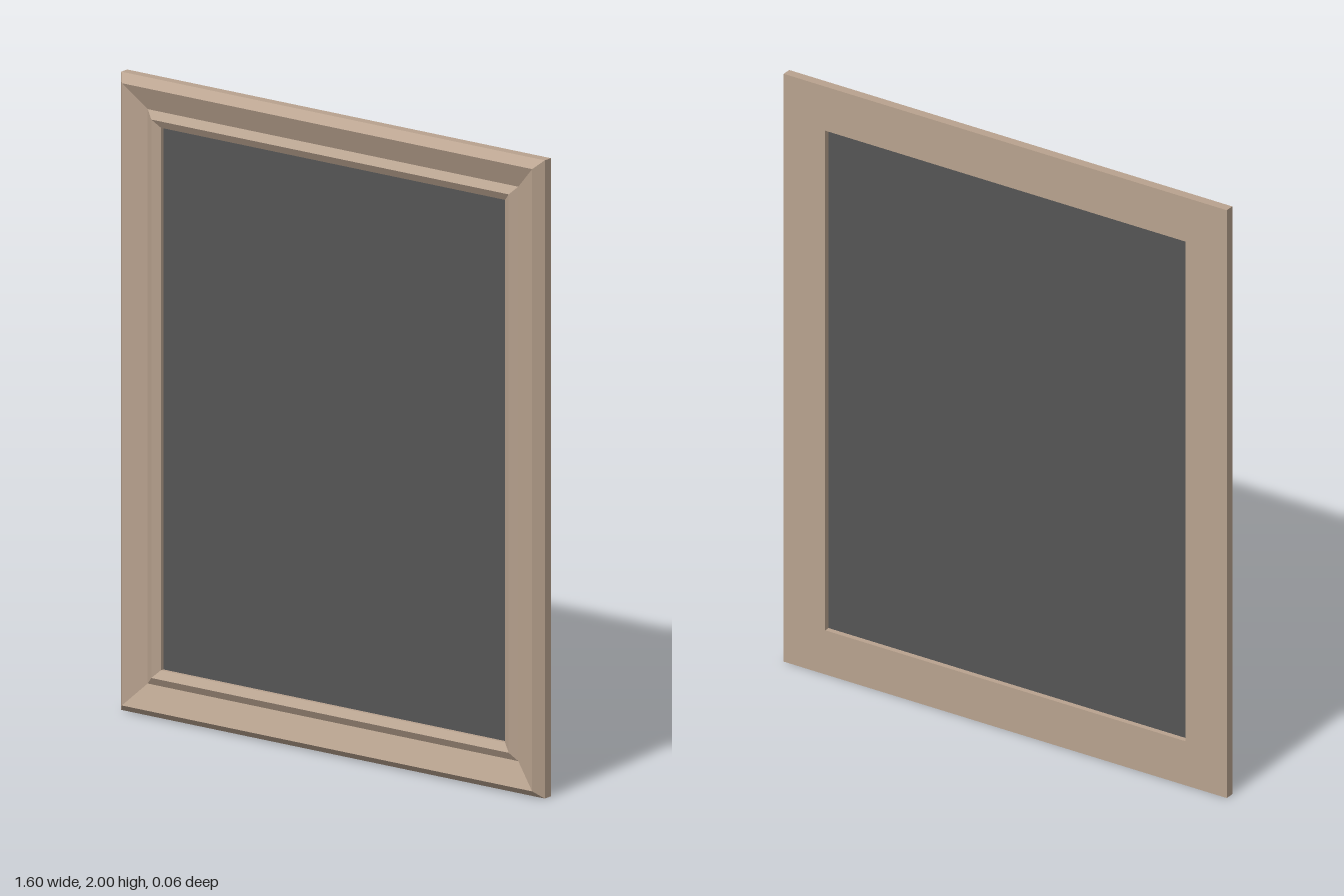
import * as THREE from 'three';

const WIDTH = 1.6, HEIGHT = 2;

// Sweeps a closed moulding profile of [inset, z] around a rectangle with mitred corners
function mitredFrame(profile) {
  const corners = [[-1, -1], [1, -1], [1, 1], [-1, 1]];
  const at = ([sx, sy], [inset, z]) =>
    [sx * (WIDTH / 2 - inset), HEIGHT / 2 + sy * (HEIGHT / 2 - inset), z];
  const positions = [];
  corners.forEach((c0, i) => {
    const c1 = corners[(i + 1) % 4];
    profile.forEach((p, j) => {
      const q = profile[(j + 1) % profile.length];
      const a = at(c0, p), b = at(c1, p), c = at(c1, q), d = at(c0, q);
      positions.push(...a, ...b, ...c, ...a, ...c, ...d);
    });
  });
  const geometry = new THREE.BufferGeometry();
  geometry.setAttribute('position', new THREE.Float32BufferAttribute(positions, 3));
  geometry.computeVertexNormals();
  return geometry;
}

export function createModel() {
  const group = new THREE.Group();
  group.name = 'pictureFrame';

  // Moulding: outer wall, bevel, inward slope, raised inner bead, inner wall, flat back
  const profile = [
    [0, -0.03], [0, 0], [0.025, 0.03], [0.1, 0],
    [0.125, 0.015], [0.15, 0], [0.15, -0.03],
  ];
  const frame = new THREE.Mesh(
    mitredFrame(profile),
    new THREE.MeshStandardMaterial({ color: 0xb8a28e, flatShading: true }),
  );
  frame.name = 'frameMoulding';
  group.add(frame);

  // Dark panel recessed inside the moulding
  const panel = new THREE.Mesh(
    new THREE.PlaneGeometry(WIDTH - 0.3, HEIGHT - 0.3),
    new THREE.MeshStandardMaterial({ color: 0x555555, side: THREE.DoubleSide }),
  );
  panel.name = 'panel';
  panel.position.set(0, HEIGHT / 2, -0.012);
  group.add(panel);

  return group;
}
